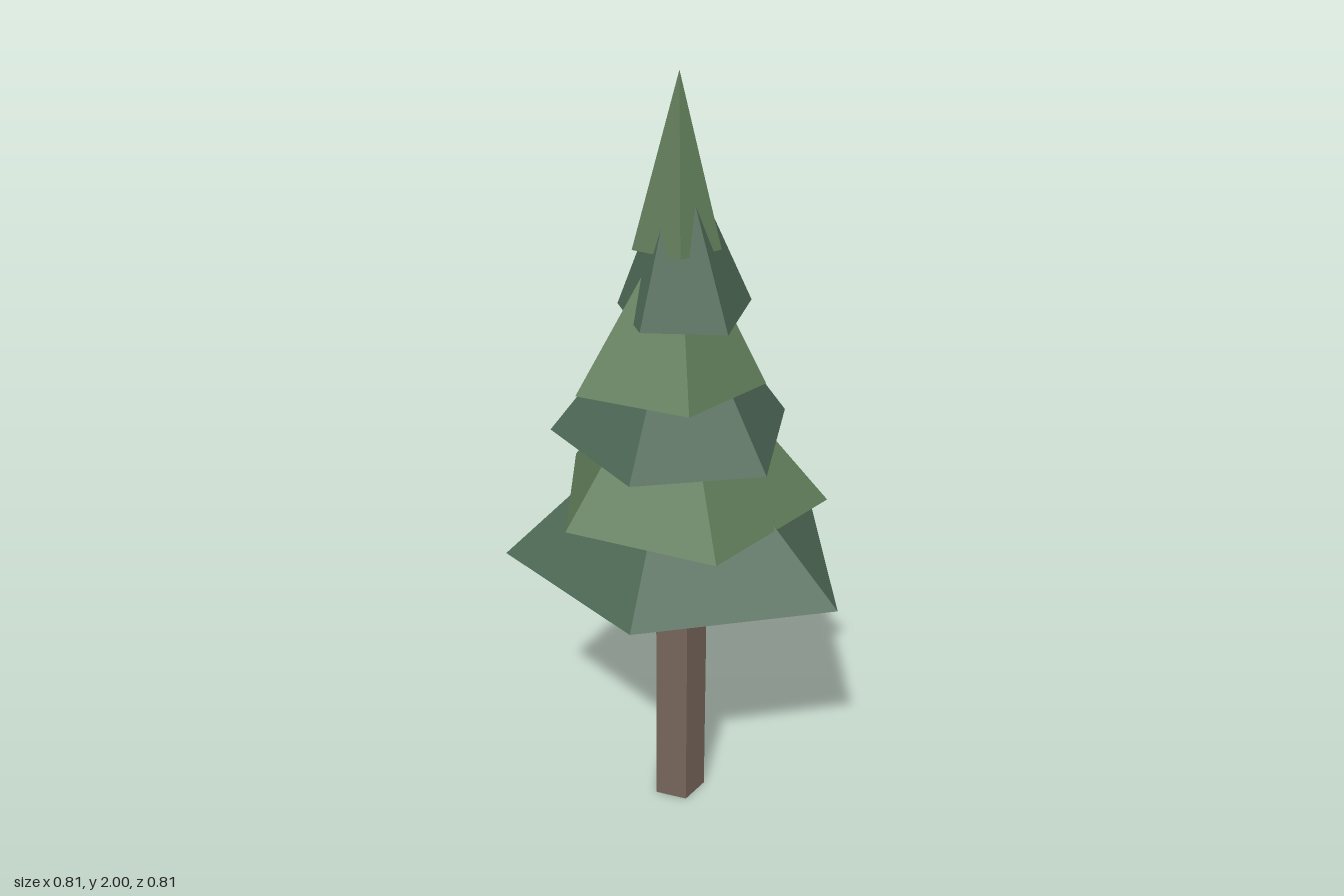
import * as THREE from 'three';

const AXIS = { x: 0.025, z: 0.05 };

const leafLight = new THREE.MeshStandardMaterial({ color: 0x5f7b58, flatShading: true, side: THREE.DoubleSide });
const leafDark = new THREE.MeshStandardMaterial({ color: 0x4d6855, flatShading: true, side: THREE.DoubleSide });
const bark = new THREE.MeshStandardMaterial({ color: 0x75655a, flatShading: true });

// Open five-sided cone: an uneven rim of [x, z] corners joined to an apex on the tree axis
function coneSkirt(rim, base, height) {
  const pos = [];
  rim.forEach(([x, z], i) => {
    const [nx, nz] = rim[(i + 1) % rim.length];
    pos.push(AXIS.x, base + height, AXIS.z, nx, base, nz, x, base, z);
  });
  const geo = new THREE.BufferGeometry();
  geo.setAttribute('position', new THREE.Float32BufferAttribute(pos, 3));
  geo.computeVertexNormals();
  return geo;
}

// Five-sided trunk section
function trunkPart(name, radius, bottom, top, turn) {
  const geo = new THREE.CylinderGeometry(radius, radius, top - bottom, 5, 1, false, THREE.MathUtils.degToRad(turn));
  const mesh = new THREE.Mesh(geo, bark);
  mesh.name = name;
  mesh.position.set(AXIS.x + 0.005, (top + bottom) / 2, AXIS.z);
  return mesh;
}

export function createModel() {
  const tree = new THREE.Group();
  tree.name = 'pineTree';

  tree.add(trunkPart('lowerTrunk', 0.072, 0, 0.585, 12));
  tree.add(trunkPart('upperTrunk', 0.044, 0.585, 1.1, 40));

  // Foliage tiers from bottom to top, rims running left, back, right, front
  const tiers = [
    { base: 0.76, height: 0.44, rim: [[-0.41, 0.02], [-0.09, -0.41], [0.405, -0.19], [0.385, 0.35], [-0.12, 0.405]] },
    { base: 0.925, height: 0.46, rim: [[-0.26, 0.2], [-0.22, -0.19], [0.185, -0.27], [0.395, 0.1], [0.085, 0.38]] },
    { base: 1.09, height: 0.44, rim: [[-0.285, -0.02], [0, -0.23], [0.31, -0.08], [0.215, 0.26], [-0.11, 0.28]] },
    { base: 1.26, height: 0.42, rim: [[-0.225, 0.14], [-0.135, -0.16], [0.175, -0.17], [0.23, 0.11], [0.03, 0.27]] },
    { base: 1.43, height: 0.41, rim: [[-0.115, -0.005], [0.035, -0.115], [0.205, 0], [0.125, 0.2], [-0.075, 0.17]] },
    { base: 1.595, height: 0.405, rim: [[-0.085, 0.075], [-0.02, -0.035], [0.1, -0.03], [0.12, 0.09], [0.02, 0.145]] },
  ];
  tiers.forEach(({ base, height, rim }, i) => {
    const mesh = new THREE.Mesh(coneSkirt(rim, base, height), i % 2 ? leafLight : leafDark);
    mesh.name = `foliageTier${i + 1}`;
    tree.add(mesh);
  });
  return tree;
}
